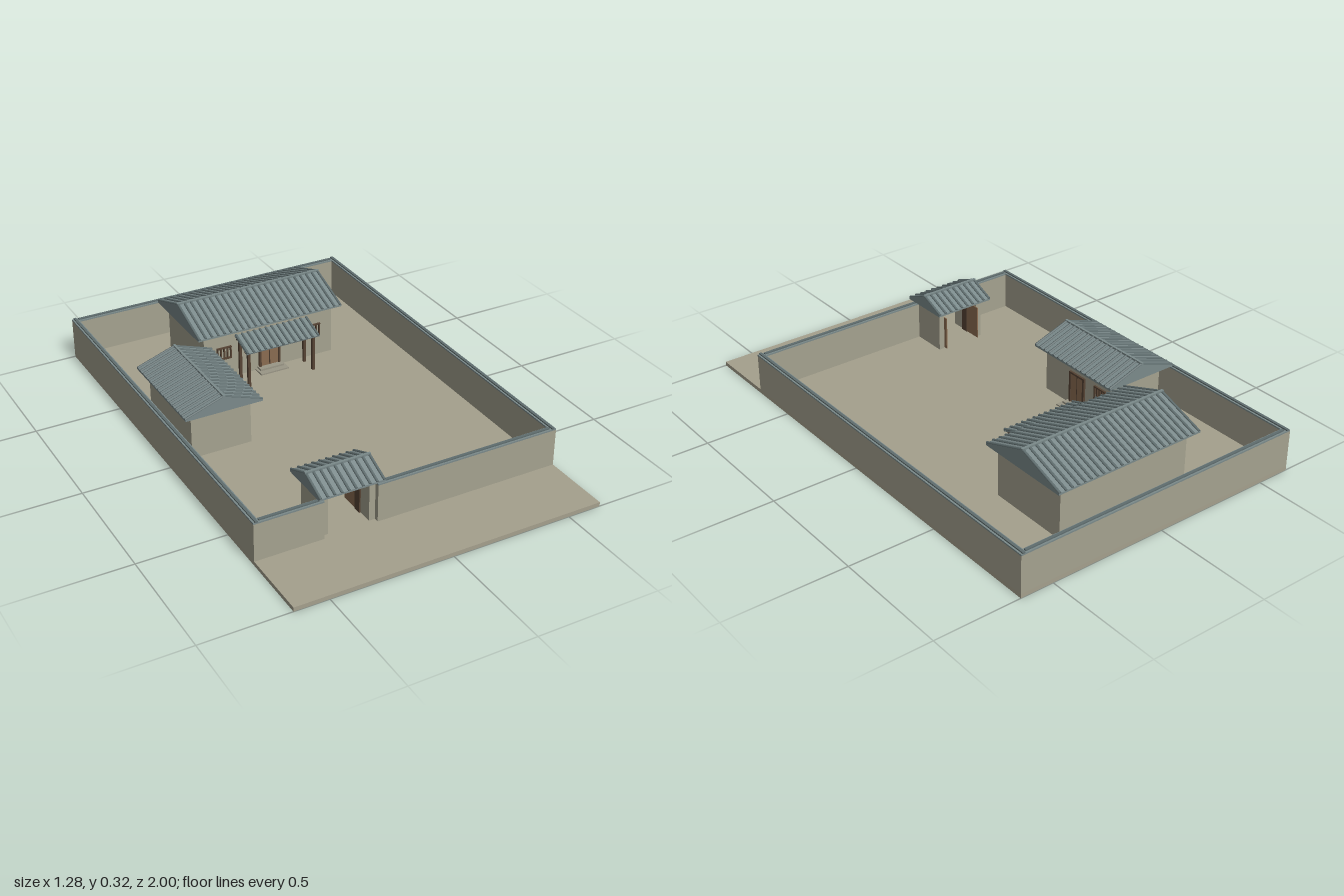
import * as THREE from 'three';

const mat = (name, color, extra = {}) => {
  const m = new THREE.MeshStandardMaterial({ color, ...extra });
  m.name = name;
  return m;
};

export function createModel() {
  const plaster = mat('plaster', 0xa5a28f);
  const earth = mat('earth', 0xa5a08d);
  const tile = mat('roofTile', 0x7b8a8b);
  const rib = mat('ribTile', 0x5f6d6e);
  const wood = mat('darkWood', 0x564334);
  const beam = mat('lightWood', 0x8a6c50);
  const stone = mat('stepStone', 0x9a9686);

  const model = new THREE.Group();
  model.name = 'walledCourtyard';

  const group = (name, parent = model) => {
    const g = new THREE.Group();
    g.name = name;
    parent.add(g);
    return g;
  };
  // box given by its extents on each axis
  const box = (parent, name, m, [x0, x1], [y0, y1], [z0, z1]) => {
    const mesh = new THREE.Mesh(new THREE.BoxGeometry(x1 - x0, y1 - y0, z1 - z0), m);
    mesh.position.set((x0 + x1) / 2, (y0 + y1) / 2, (z0 + z1) / 2);
    mesh.name = name;
    parent.add(mesh);
    return mesh;
  };
  // round tile rows between two (y, z) points, spread along x
  const ribs = (parent, length, a, b, radius) => {
    const count = Math.round(length / 0.029);
    const run = Math.hypot(b[0] - a[0], b[1] - a[1]);
    const geo = new THREE.CylinderGeometry(radius, radius, run, 8);
    geo.rotateX(Math.atan2(b[1] - a[1], b[0] - a[0]));
    for (let i = 0; i <= count; i++) {
      const r = new THREE.Mesh(geo, rib);
      r.name = 'tileRow';
      r.position.set((i / count - 0.5) * (length - 2 * radius), (a[0] + b[0]) / 2, (a[1] + b[1]) / 2);
      parent.add(r);
    }
  };
  // solid gabled roof, ridge along x, eave bottom at y = 0
  const gableRoof = (name, parent, length, half, height) => {
    const g = group(name, parent);
    const lip = 0.008, top = height - 0.004;
    const s = new THREE.Shape();
    s.moveTo(-half, 0);
    s.lineTo(half, 0);
    s.lineTo(half, lip);
    s.lineTo(0, top);
    s.lineTo(-half, lip);
    s.closePath();
    const geo = new THREE.ExtrudeGeometry(s, { depth: length, bevelEnabled: false });
    geo.translate(0, 0, -length / 2).rotateY(Math.PI / 2);
    const body = new THREE.Mesh(geo, tile);
    body.name = 'roofBody';
    g.add(body);
    for (const side of [-1, 1]) ribs(g, length, [lip, side * half], [top, 0], 0.0055);
    box(g, 'ridge', tile, [-length / 2, length / 2], [top - 0.006, height + 0.002], [-0.005, 0.005]);
    return g;
  };
  // framed opening with upright bars, facing +z
  const windowFrame = (parent, x, y0, y1, z) => {
    const g = group('window', parent);
    const w = 0.033;
    for (const y of [y0, y1 - 0.006]) box(g, 'windowRail', wood, [x - w, x + w], [y, y + 0.006], [z, z + 0.008]);
    for (let i = 0; i < 5; i++) {
      const bx = x - w + 0.003 + i * 0.015;
      box(g, 'windowBar', wood, [bx - 0.003, bx + 0.003], [y0, y1], [z, z + 0.007]);
    }
  };
  // door with jambs and two-tier step, facing +z
  const doorway = (parent, x, z, half) => {
    const g = group('doorway', parent);
    box(g, 'doorPanel', beam, [x - half, x + half], [0.017, 0.16], [z, z + 0.004]);
    for (const s of [-1, 1])
      box(g, 'doorJamb', wood, [x + s * half - 0.005, x + s * half + 0.005], [0.017, 0.165], [z, z + 0.009]);
    for (const [n, t, y] of [['doorHead', half + 0.005, 0.16]])
      box(g, n, wood, [x - t, x + t], [y, y + 0.008], [z, z + 0.009]);
    box(g, 'doorSeam', wood, [x - 0.002, x + 0.002], [0.017, 0.16], [z, z + 0.006]);
    box(g, 'upperStep', stone, [x - 0.055, x + 0.055], [0.015, 0.031], [z, z + 0.03]);
    box(g, 'lowerStep', stone, [x - 0.065, x + 0.065], [0.015, 0.023], [z, z + 0.055]);
  };

  // ground slab
  box(model, 'ground', earth, [-0.64, 0.64], [0, 0.017], [-1, 1]);

  // perimeter wall with tiled coping
  const yard = group('perimeterWall');
  const runs = [
    [[-0.64, -0.615], [-1, 0.71]], [[0.615, 0.64], [-1, 0.71]],
    [[-0.615, 0.615], [-1, -0.975]],
    [[-0.615, -0.36], [0.685, 0.71]], [[-0.14, 0.615], [0.685, 0.71]],
  ];
  for (const [x, z] of runs) {
    box(yard, 'wall', plaster, x, [0.017, 0.173], z);
    box(yard, 'coping', tile, x, [0.173, 0.179], z);
    const alongX = x[1] - x[0] > 0.1;
    const slim = ([a, b]) => [a + 0.007, b - 0.007];
    box(yard, 'copingRidge', rib, alongX ? x : slim(x), [0.179, 0.184], alongX ? slim(z) : z);
  }

  // gatehouse
  const gate = group('gatehouse');
  for (const [a, b] of [[-0.36, -0.335], [-0.165, -0.14]])
    box(gate, 'gateWall', plaster, [a, b], [0.017, 0.2], [0.535, 0.69]);
  box(gate, 'gateLintel', beam, [-0.335, -0.165], [0.165, 0.198], [0.6, 0.625]);
  for (const x of [-0.335, -0.171]) {
    box(gate, 'gatePost', wood, [x, x + 0.006], [0.017, 0.165], [0.595, 0.63]);
    box(gate, 'gateLeaf', beam, [x + 0.001, x + 0.005], [0.02, 0.163], [0.52, 0.595]);
  }
  gableRoof('gateRoof', gate, 0.27, 0.11, 0.058).position.set(-0.252, 0.193, 0.612);

  // main house
  const main = group('mainHouse');
  box(main, 'houseWalls', plaster, [-0.26, 0.34], [0.017, 0.236], [-0.84, -0.49]);
  gableRoof('mainRoof', main, 0.67, 0.205, 0.085).position.set(0.04, 0.234, -0.667);
  doorway(main, 0.04, -0.49, 0.045);
  for (const x of [-0.17, 0.25]) windowFrame(main, x, 0.11, 0.167, -0.49);

  // porch in front of the main door
  const porch = group('porch');
  const roof = group('porchRoof', porch);
  roof.position.set(0.042, 0, 0);
  const slab = box(roof, 'porchSlab', tile, [-0.17, 0.17], [-0.003, 0.003], [-0.058, 0.058]);
  slab.position.set(0, 0.2, -0.414);
  slab.rotation.x = Math.atan2(0.036, 0.11);
  const porchRows = group('porchTileRows', roof);
  ribs(porchRows, 0.34, [0.186, -0.358], [0.222, -0.469], 0.0055);
  for (const x of [-0.11, 0.192]) {
    box(porch, 'frontPost', wood, [x - 0.006, x + 0.006], [0.017, 0.188], [-0.386, -0.374]);
    box(porch, 'backPost', wood, [x - 0.006, x + 0.006], [0.017, 0.213], [-0.465, -0.453]);
  }
  box(porch, 'frontBeam', wood, [-0.125, 0.207], [0.178, 0.188], [-0.385, -0.375]);
  box(porch, 'backBeam', wood, [-0.125, 0.207], [0.202, 0.212], [-0.464, -0.454]);

  // side house, built facing +z and turned to face the yard
  const sideHouse = group('sideHouse');
  sideHouse.position.set(-0.422, 0, -0.19);
  sideHouse.rotation.y = Math.PI / 2;
  box(sideHouse, 'houseWalls', plaster, [-0.195, 0.195], [0.017, 0.212], [-0.127, 0.127]);
  gableRoof('sideRoof', sideHouse, 0.46, 0.163, 0.068).position.y = 0.21;
  doorway(sideHouse, 0, 0.127, 0.04);
  windowFrame(sideHouse, 0.135, 0.11, 0.167, 0.127);

  return model;
}
